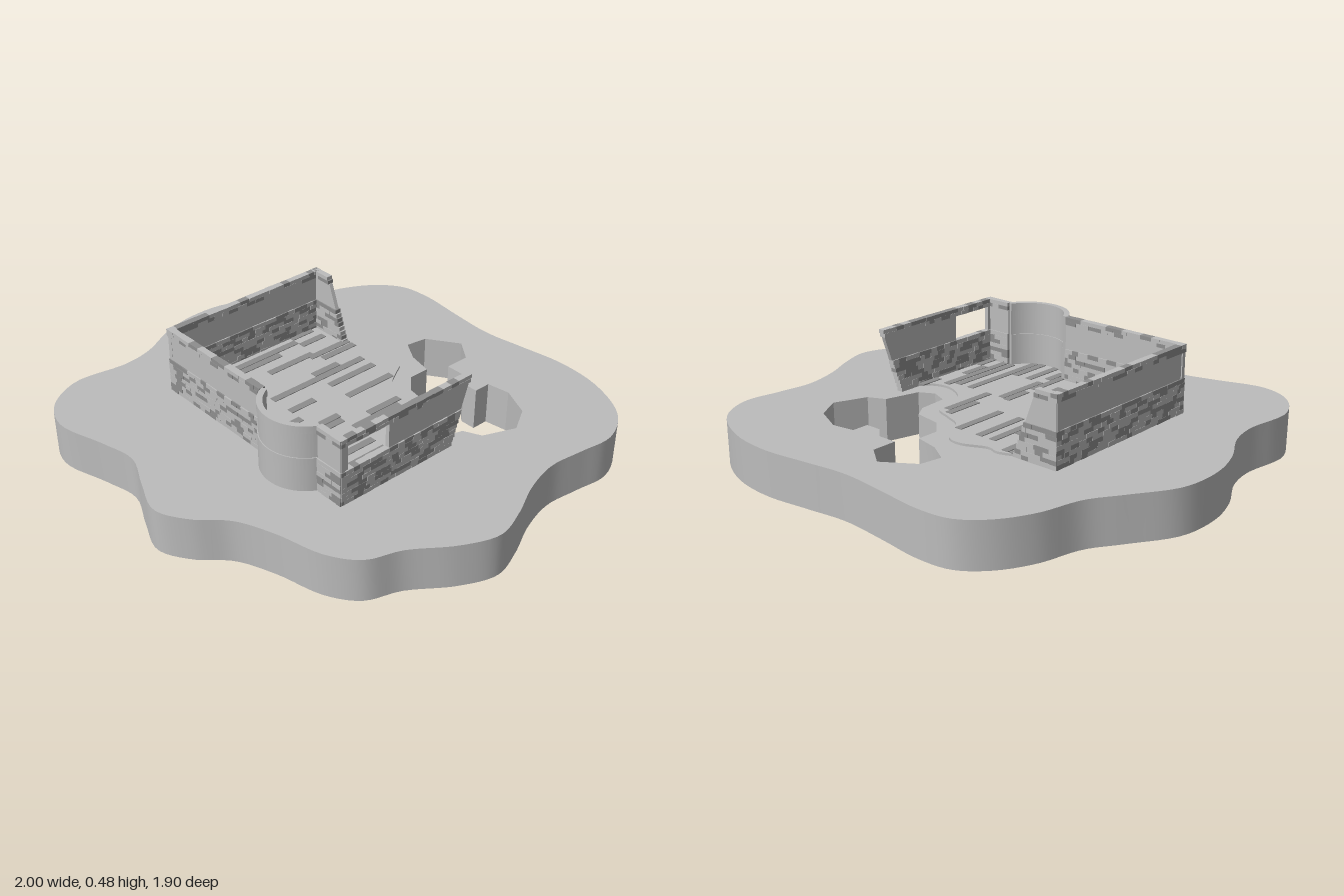
import * as THREE from 'three';
import { mergeGeometries, toCreasedNormals } from 'three/addons/utils/BufferGeometryUtils.js';

const light = new THREE.MeshStandardMaterial({ color: 0xbcbcbc });
light.name = 'light stone';
const dark = new THREE.MeshStandardMaterial({ color: 0x8e8e8e });
dark.name = 'dark stone';

// Heights: ground, top of lower bricks, bottom of cap, top of cap
const GROUND = 0.19, SILL = 0.34, CAP = 0.45, TOP = 0.483;

let seed = 11;
const rand = () => (seed = (seed * 16807) % 2147483647) / 2147483647;

const points = list => list.map(([x, z]) => new THREE.Vector2(x, z));

function smoothLoop(list, n) {
  const curve = new THREE.CatmullRomCurve3(list.map(([x, z]) => new THREE.Vector3(x, z, 0)), true);
  return curve.getPoints(n).slice(0, n).map(p => new THREE.Vector2(p.x, p.y));
}

// Upright slab from a plan outline given in (x, z)
function slab(shape, bottom, top) {
  const g = new THREE.ExtrudeGeometry(shape, { depth: top - bottom, bevelEnabled: false, curveSegments: 32 });
  g.rotateX(Math.PI / 2).translate(0, top, 0);
  return toCreasedNormals(g, 0.4);
}

function add(group, name, geometry, material) {
  const mesh = new THREE.Mesh(geometry, material);
  mesh.name = name;
  group.add(mesh);
}

// Courses of bricks between two ends that may depend on height
function bricks(group, name, axis, at, from, to, y0, y1, rows) {
  const sets = [[], []];
  const h = (y1 - y0) / rows;
  for (let r = 0; r < rows; r++) {
    const y = y0 + (r + 0.5) * h;
    const end = to(y);
    let u = from(y);
    while (u < end - 0.003) {
      let len = Math.min(0.026 + 0.026 * rand(), end - u);
      if (end - u - len < 0.012) len = end - u;
      const depth = 0.026 + rand() * 0.005;
      const box = axis === 'x' ? new THREE.BoxGeometry(len, h, depth) : new THREE.BoxGeometry(depth, h, len);
      const mid = u + len / 2;
      box.translate(axis === 'x' ? mid : at, y, axis === 'x' ? at : mid);
      sets[rand() < 0.42 ? 1 : 0].push(box);
      u += len;
    }
  }
  sets.forEach((set, i) => {
    if (set.length) add(group, name + (i ? 'Dark' : 'Light'), mergeGeometries(set), i ? dark : light);
  });
}

// Plain plaster panel above the lower bricks, with ends that may slope
function panel(group, name, axis, at, from, to) {
  const s = new THREE.Shape(points([[from(SILL), SILL], [to(SILL), SILL], [to(CAP), CAP], [from(CAP), CAP]]));
  const g = new THREE.ExtrudeGeometry(s, { depth: 0.018, bevelEnabled: false });
  g.translate(0, 0, -0.009);
  if (axis === 'z') g.rotateY(-Math.PI / 2);
  g.translate(axis === 'z' ? at : 0, 0, axis === 'z' ? 0 : at);
  add(group, name, g, light);
}

export function createModel() {
  const model = new THREE.Group();
  model.name = 'ruinedRoom';

  // Wavy ground with a jagged hole
  const ground = new THREE.Shape(smoothLoop([
    [-0.41, -0.94], [-0.21, -0.92], [0, -0.905], [0.19, -0.93], [0.4, -0.955], [0.61, -0.925], [0.8, -0.82],
    [0.88, -0.67], [0.865, -0.51], [0.85, -0.35], [0.89, -0.19], [0.96, -0.04], [1, 0.1], [0.945, 0.25],
    [0.83, 0.42], [0.775, 0.56], [0.66, 0.645], [0.46, 0.7], [0.3, 0.77], [0.19, 0.88], [0.06, 0.945],
    [-0.1, 0.89], [-0.26, 0.825], [-0.42, 0.855], [-0.64, 0.91], [-0.78, 0.855], [-0.875, 0.695],
    [-0.855, 0.455], [-0.88, 0.32], [-0.96, 0.16], [-1, 0], [-0.985, -0.19], [-0.875, -0.375],
    [-0.79, -0.51], [-0.74, -0.695], [-0.66, -0.835], [-0.555, -0.92]], 180));
  ground.holes.push(new THREE.Path(points([
    [-0.01, -0.75], [0.085, -0.68], [0.085, -0.57], [0.17, -0.57], [0.225, -0.52], [0.295, -0.52],
    [0.295, -0.595], [0.395, -0.61], [0.525, -0.55], [0.59, -0.44], [0.535, -0.3], [0.46, -0.265],
    [0.42, -0.115], [0.355, -0.08], [0.28, -0.11], [0.27, -0.24], [0.23, -0.3], [0.11, -0.32],
    [0.04, -0.39], [0.04, -0.485], [-0.07, -0.51], [-0.16, -0.565], [-0.145, -0.66]])));
  add(model, 'ground', slab(ground, 0, GROUND), light);

  // Floor with a broken back edge and a round bay at the front
  const bay = { x: 0.205, z: 0.337, r: 0.183, a: 0.41 };
  const floor = new THREE.Shape();
  floor.moveTo(-0.55, 0.41);
  floor.lineTo(-0.55, -0.37);
  floor.lineTo(-0.37, -0.37);
  floor.splineThru(points([
    [-0.29, -0.4], [-0.23, -0.39], [-0.13, -0.43], [-0.06, -0.42], [-0.02, -0.36], [0.03, -0.29], [0.11, -0.255],
    [0.19, -0.22], [0.2, -0.13], [0.25, -0.05], [0.35, 0], [0.44, -0.02], [0.49, -0.09]]));
  floor.lineTo(0.49, 0.41);
  floor.absarc(bay.x, bay.z, bay.r - 0.01, bay.a, Math.PI - bay.a, false);
  add(model, 'floor', slab(floor, GROUND, 0.2), light);

  // Darker floorboards: x, back z, front z
  const boards = [
    [-0.525, -0.32, -0.2], [-0.49, -0.2, 0.4], [-0.455, -0.33, -0.2], [-0.455, -0.08, 0.4], [-0.385, 0.3, 0.4],
    [-0.37, -0.19, 0.05], [-0.35, -0.38, -0.16], [-0.31, -0.38, -0.2], [-0.31, 0.18, 0.3], [-0.235, -0.22, -0.08],
    [-0.235, 0.3, 0.4], [-0.2, -0.33, 0.17], [-0.13, -0.33, -0.08], [-0.09, 0.04, 0.17], [-0.02, -0.33, -0.08],
    [-0.02, 0.17, 0.3], [0.06, 0.04, 0.17], [0.06, 0.21, 0.41], [0.095, 0.05, 0.3], [0.095, 0.35, 0.45],
    [0.13, -0.23, -0.06], [0.165, -0.2, 0.05], [0.165, 0.3, 0.5], [0.24, 0.3, 0.49], [0.275, 0.05, 0.48],
    [0.345, 0.05, 0.4], [0.385, 0.02, 0.4], [0.42, 0.17, 0.3], [0.46, -0.06, 0.05], [0.46, 0.3, 0.4]];
  add(model, 'darkFloorboards', mergeGeometries(boards.map(([x, a, b]) =>
    new THREE.BoxGeometry(0.032, 0.004, b - a).translate(x, 0.201, (a + b) / 2))), dark);

  // Walls; the right-hand and back ones end in broken, sloping edges
  const fixed = v => () => v;
  const slope = (low, high) => y => THREE.MathUtils.lerp(low, high, (y - GROUND) / (TOP - GROUND));
  const sideBreak = slope(-0.155, -0.255);
  const backBreak = slope(-0.35, -0.46);
  const walls = [
    ['frontWall', 'x', 0.41, fixed(-0.56), fixed(0.04)],
    ['frontCorner', 'x', 0.41, fixed(0.37), fixed(0.5)],
    ['longSideWall', 'z', -0.546, fixed(-0.38), fixed(0.42)],
    ['brokenSideWall', 'z', 0.488, sideBreak, fixed(0.42)],
    ['backWall', 'x', -0.368, fixed(-0.56), backBreak]];
  for (const [name, axis, at, from, to] of walls) {
    const wall = new THREE.Group();
    wall.name = name;
    bricks(wall, 'lowerBricks', axis, at, from, to, GROUND, SILL, 8);
    bricks(wall, 'capBricks', axis, at, from, to, CAP, TOP, 2);
    if (name === 'brokenSideWall') { // window opening between the panels
      panel(wall, 'rearPanel', axis, at, from, fixed(0.18));
      panel(wall, 'frontPanel', axis, at, fixed(0.385), to);
    } else panel(wall, 'panel', axis, at, from, to);
    model.add(wall);
  }

  // Curved bay wall: lower part, recessed band and cap
  const ring = (name, outer, inner, y0, y1) => {
    const s = new THREE.Shape();
    s.absarc(bay.x, bay.z, outer, bay.a, Math.PI - bay.a, false);
    s.absarc(bay.x, bay.z, inner, Math.PI - bay.a, bay.a, true);
    s.closePath();
    add(model, name, slab(s, y0, y1), light);
  };
  ring('bayLowerWall', bay.r, bay.r - 0.024, GROUND, SILL);
  ring('bayBand', bay.r - 0.004, bay.r - 0.02, SILL, CAP);
  ring('bayCap', bay.r, bay.r - 0.024, CAP, TOP);

  return model;
}
